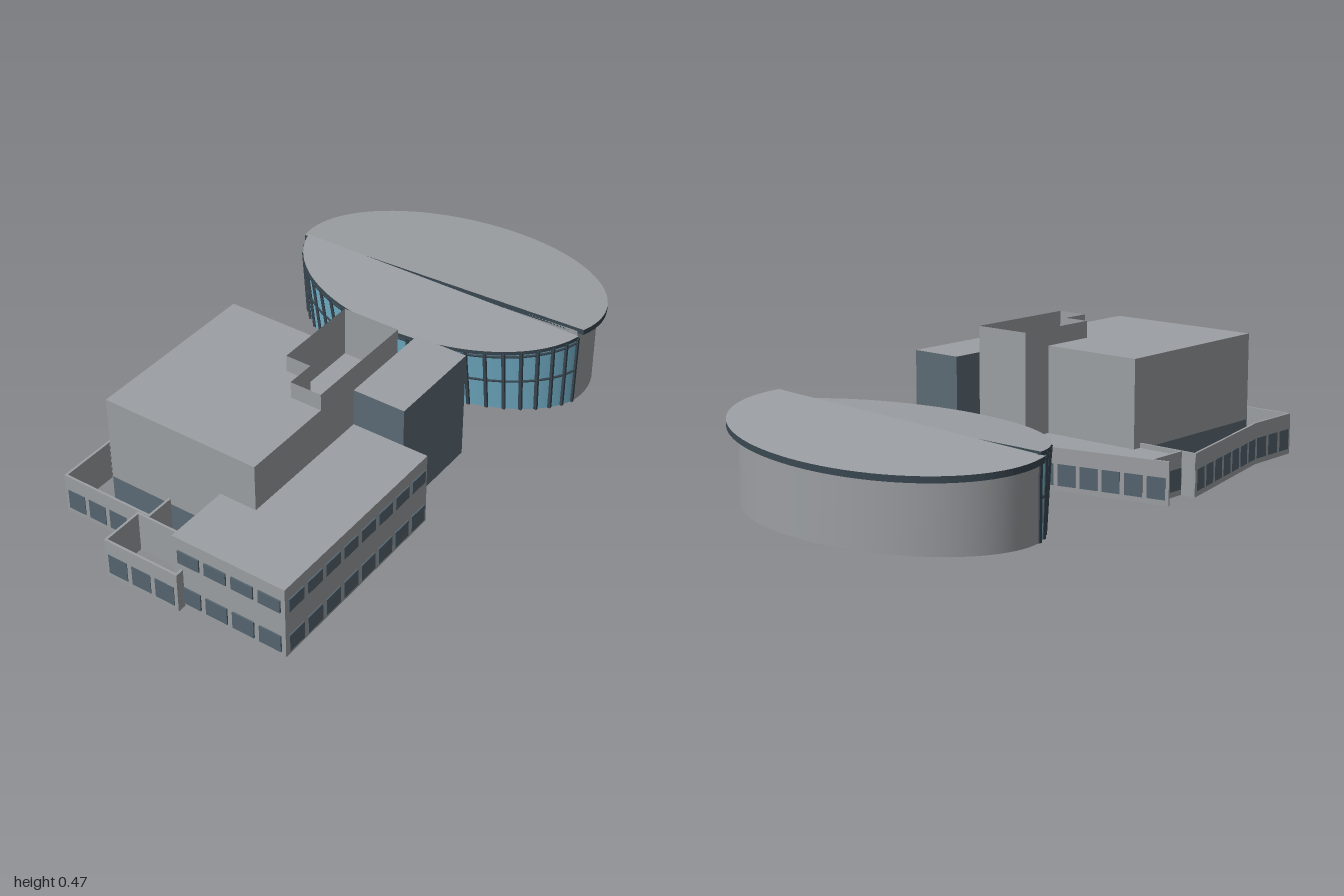
import * as THREE from 'three';
import { mergeVertices } from 'three/addons/utils/BufferGeometryUtils.js';

const mat = (name, color, side = THREE.FrontSide) => {
  const m = new THREE.MeshStandardMaterial({ color, side });
  m.name = name;
  return m;
};

export function createModel() {
  const concrete = mat('concrete grey', 0x9c9fa3, THREE.DoubleSide);
  const slate = mat('slate cladding', 0x5c6b75, THREE.DoubleSide);
  const pane = mat('window slate', 0x55656f);
  const trim = mat('dark trim', 0x3a4852);
  const glass = mat('blue glass', 0x78b8d2, THREE.DoubleSide);

  const model = new THREE.Group();
  model.name = 'buildingComplex';
  const add = (name, geometry, material, parent = model) => {
    const m = new THREE.Mesh(geometry, material);
    m.name = name;
    parent.add(m);
    return m;
  };
  const group = (name) => {
    const g = new THREE.Group();
    g.name = name;
    model.add(g);
    return g;
  };

  // Surface between a lower and an upper row of points
  const ribbon = (low, high, smooth) => {
    const p = [];
    for (let i = 0; i < low.length - 1; i++) {
      for (const v of [low[i], low[i + 1], high[i + 1], low[i], high[i + 1], high[i]]) p.push(...v.toArray());
    }
    let g = new THREE.BufferGeometry();
    g.setAttribute('position', new THREE.Float32BufferAttribute(p, 3));
    if (smooth) g = mergeVertices(g, 1e-5);
    g.computeVertexNormals();
    return g;
  };
  const outline = (pts) => new THREE.Shape(pts.map(([x, z]) => new THREE.Vector2(x, -z)));
  const level = (pts, y) => pts.map(([x, z]) => new THREE.Vector3(x, y, z));
  const flatRoof = (pts, y) => new THREE.ShapeGeometry(outline(pts)).rotateX(-Math.PI / 2).translate(0, y, 0);

  // Walls round an outline (counter-clockwise seen from above) with a flat roof
  const block = (name, pts, top, wallMat, roofY = top, base = 0) => {
    const g = group(name);
    const loop = [...pts, pts[0]];
    add('walls', ribbon(level(loop, base), level(loop, top)), wallMat, g);
    add('roof', flatRoof(pts, roofY), concrete, g);
    return g;
  };

  // Row of panes on a wall running from a to b, left to right seen from outside
  const along = (mesh, a, b, t, y, out) => {
    const dx = b[0] - a[0], dz = b[1] - a[1], len = Math.hypot(dx, dz);
    mesh.position.set(a[0] + dx * t - (dz / len) * out, y, a[1] + dz * t + (dx / len) * out);
    mesh.rotation.y = Math.atan2(-dz, dx);
  };
  const windows = (parent, a, b, y0, y1, n, out = 0.002) => {
    const len = Math.hypot(b[0] - a[0], b[1] - a[1]);
    const geo = new THREE.BoxGeometry((len / n) * 0.8, y1 - y0, 0.006);
    for (let i = 0; i < n; i++) along(add('window', geo, pane, parent), a, b, (i + 0.5) / n, (y0 + y1) / 2, out);
  };

  // Two-storey office wing
  const office = block('officeWing', [[-0.97, 0.07], [-0.97, 0.47], [-0.25, 0.47], [-0.25, 0.2], [-0.745, 0.2], [-0.745, 0.07]], 0.255, concrete);
  for (const [y0, y1] of [[0.015, 0.075], [0.165, 0.21]]) {
    windows(office, [-0.965, 0.47], [-0.255, 0.47], y0, y1, 8);
    windows(office, [-0.97, 0.08], [-0.97, 0.465], y0, y1, 4);
    windows(office, [-0.25, 0.465], [-0.25, 0.385], y0, y1, 1);
    windows(office, [-0.75, 0.07], [-0.965, 0.07], y0, y1, 2);
  }

  // Clad entrance block
  block('entranceBlock', [[-0.25, 0.2], [-0.25, 0.383], [0.097, 0.383], [0.097, 0.2]], 0.385, slate);

  // Main hall: grey upper walls over a slate base
  const hallPts = [[-0.745, -0.355], [-0.745, 0.2], [-0.42, 0.2], [-0.42, 0.09], [-0.32, 0.09], [-0.32, 0], [-0.125, 0], [-0.125, -0.355]];
  const hall = block('mainHall', hallPts, 0.415, concrete, 0.415, 0.12);
  const hallLoop = [[-0.125, -0.355], [-0.745, -0.355], [-0.745, 0.2], [-0.42, 0.2]];
  add('hallBase', ribbon(level(hallLoop, 0), level(hallLoop, 0.12)), slate, hall);

  // Taller tower with an open parapet
  block('parapetTower', [[-0.42, 0.09], [-0.42, 0.2], [-0.012, 0.2], [-0.012, 0], [-0.32, 0], [-0.32, 0.09]], 0.472, concrete, 0.3);

  // Low walls with windows; the courts behind them are open to the sky
  const wallH = 0.14;
  const lowWall = (parent, a, b, n) => {
    const len = Math.hypot(b[0] - a[0], b[1] - a[1]);
    along(add('wall', new THREE.BoxGeometry(len + 0.008, wallH, 0.008), concrete, parent), a, b, 0.5, wallH / 2, 0);
    if (n) windows(parent, a, b, 0.018, 0.088, n, 0.003);
  };
  const sideCourt = group('sideCourt');
  lowWall(sideCourt, [-0.996, -0.165], [-0.996, 0.1], 3);
  lowWall(sideCourt, [-0.85, -0.165], [-0.996, -0.165], 2);
  lowWall(sideCourt, [-0.85, 0.066], [-0.85, -0.165], 0);
  lowWall(sideCourt, [-0.996, 0.1], [-0.97, 0.1], 0);
  const backCourt = group('backCourt');
  lowWall(backCourt, [-0.84, -0.46], [-0.84, -0.13], 4);
  lowWall(backCourt, [-0.64, -0.46], [-0.84, -0.46], 3);
  lowWall(backCourt, [-0.16, -0.567], [-0.64, -0.46], 7);
  lowWall(backCourt, [-0.16, -0.355], [-0.16, -0.567], 0);
  lowWall(backCourt, [-0.84, -0.13], [-0.745, -0.13], 0);

  // Foyer with a long slanted wall
  const foyer = group('foyer');
  lowWall(foyer, [0.158, 0.26], [-0.02, -0.57], 11);
  lowWall(foyer, [-0.012, -0.515], [-0.16, -0.515], 2);
  lowWall(foyer, [0.097, 0.2], [0.143, 0.2], 0);
  add('foyerRoof', flatRoof([[-0.16, -0.515], [-0.16, -0.355], [-0.125, -0.355], [-0.125, 0.2], [0.144, 0.2], [-0.01, -0.515]], 0.125), concrete, foyer);

  // Oval auditorium: arcs of ellipses cut at a seam
  const seam = 0.54;
  const arc = (cx, rx, rz, east, n = 48) => {
    const cut = Math.acos((seam - cx) / rx);
    const [from, to] = east ? [-cut, cut] : [cut, 2 * Math.PI - cut];
    return Array.from({ length: n + 1 }, (_, i) => {
      const t = from + ((to - from) * i) / n;
      return [cx + rx * Math.cos(t), rz * Math.sin(t)];
    });
  };
  const eastY = (x, z) => 0.278 - 0.072 * (x - seam) + 0.036 * z;
  const westY = (x) => 0.267 + 0.052 * (x - seam);
  const oval = group('auditorium');

  // Roof slab following a sloping plane
  const slab = (name, pts, topY, thick) => {
    const g = new THREE.ExtrudeGeometry(outline(pts), { depth: thick, bevelEnabled: false }).rotateX(-Math.PI / 2);
    const p = g.attributes.position;
    for (let i = 0; i < p.count; i++) p.setY(i, p.getY(i) - thick + topY(p.getX(i), p.getZ(i)));
    g.computeVertexNormals();
    add(name, g, [concrete, trim], oval);
  };
  slab('eastRoof', arc(0.615, 0.385, 0.57, true), eastY, 0.02);
  slab('westRoof', arc(0.6, 0.365, 0.55, false), westY, 0.014);

  // Curved solid wall and the cross wall at the seam
  const wall = arc(0.6, 0.363, 0.545, true);
  const under = (pts) => pts.map(([x, z]) => new THREE.Vector3(x, eastY(x, z) - 0.012, z));
  add('curvedWall', ribbon(level([...wall].reverse(), 0), under([...wall].reverse()), true), concrete, oval);
  const cross = [wall[0], wall[wall.length - 1]];
  add('crossWall', ribbon(level(cross, 0), under(cross)), concrete, oval);

  // Outward-leaning glass front
  const bars = 22;
  const low = level(arc(0.6, 0.305, 0.547, false, bars * 2), 0);
  const high = arc(0.6, 0.36, 0.547, false, bars * 2).map(([x, z]) => new THREE.Vector3(x, westY(x) - 0.008, z));
  add('glassFront', ribbon(low, high, true), glass, oval);

  // Mullions and horizontal rails
  for (let i = 0; i <= bars; i++) {
    const a = low[i * 2], b = high[i * 2];
    const dir = b.clone().sub(a);
    const m = add('mullion', new THREE.BoxGeometry(0.011, dir.length(), 0.011), trim, oval);
    m.position.copy(a).lerp(b, 0.5);
    m.quaternion.setFromUnitVectors(new THREE.Vector3(0, 1, 0), dir.normalize());
  }
  for (const f of [0.5, 0.93]) {
    const path = new THREE.CatmullRomCurve3(low.map((a, i) => a.clone().lerp(high[i], f)));
    add('glassRail', new THREE.TubeGeometry(path, 60, 0.005, 6), trim, oval);
  }

  return model;
}
